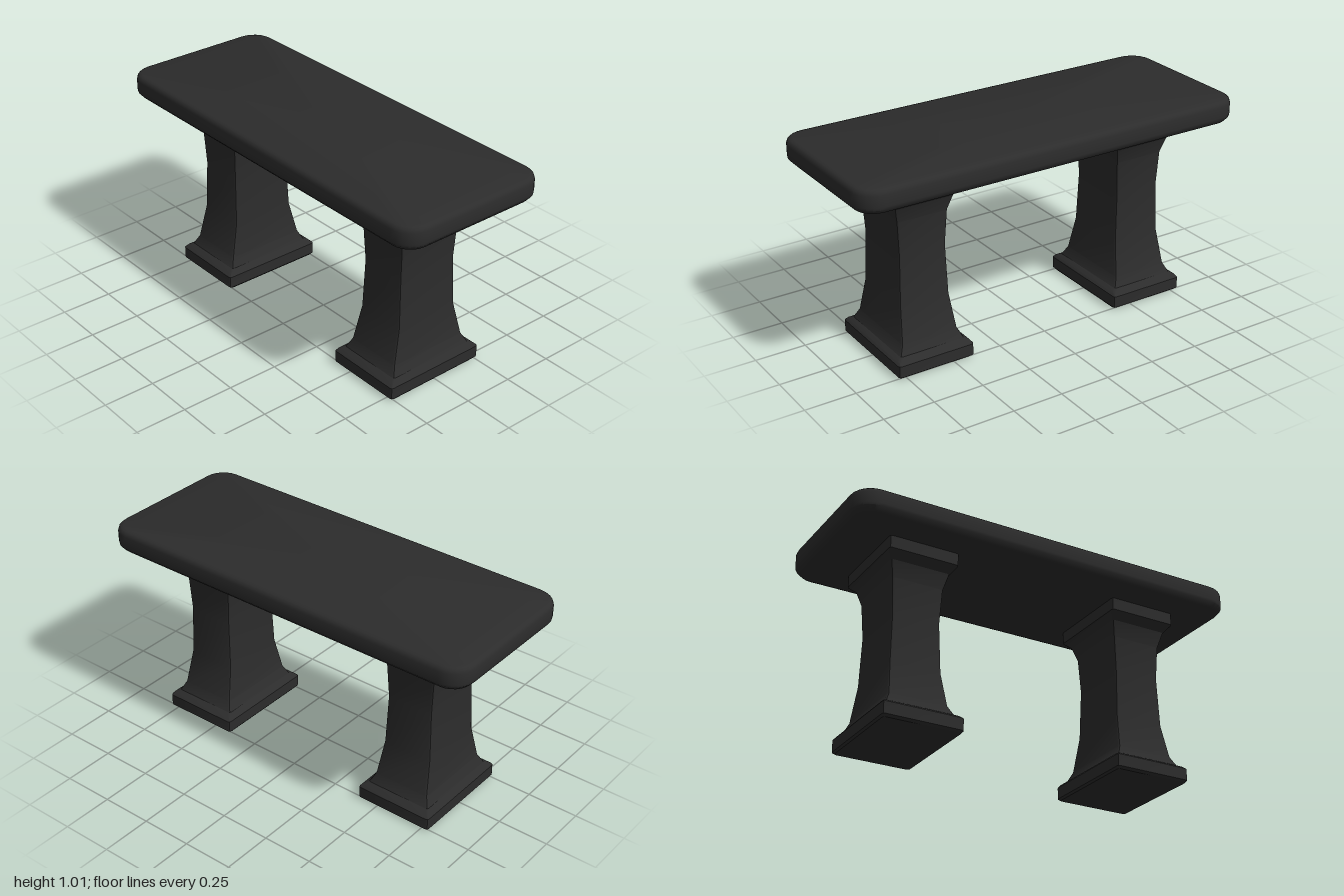
import * as THREE from 'three';
import { toCreasedNormals } from 'three/addons/utils/BufferGeometryUtils.js';

// Rounded rectangle outline: half width, half depth, corner radius, segments per corner
function outline(hw, hd, r, seg) {
  const pts = [];
  const signs = [[1, 1], [-1, 1], [-1, -1], [1, -1]];
  signs.forEach(([sx, sz], c) => {
    for (let i = 0; i <= seg; i++) {
      const a = (c + i / seg) * Math.PI / 2;
      pts.push([sx * (hw - r) + r * Math.cos(a), sz * (hd - r) + r * Math.sin(a)]);
    }
  });
  return pts;
}

// Closed solid through stacked sections [y, half width, half depth, corner radius]
function loft(sections, seg, crease) {
  const pos = [], index = [], n = 4 * (seg + 1), last = sections.length - 1;
  for (const [y, hw, hd, r] of sections) {
    for (const [x, z] of outline(hw, hd, r, seg)) pos.push(x, y, z);
  }
  for (let s = 0; s < last; s++) {
    for (let i = 0; i < n; i++) {
      const a = s * n + i, b = s * n + (i + 1) % n;
      index.push(a, a + n, b, b, a + n, b + n);
    }
  }
  // End caps
  const bottom = pos.length / 3, top = bottom + 1;
  pos.push(0, sections[0][0], 0, 0, sections[last][0], 0);
  for (let i = 0; i < n; i++) {
    const j = (i + 1) % n;
    index.push(bottom, i, j, top, last * n + j, last * n + i);
  }
  const geo = new THREE.BufferGeometry();
  geo.setAttribute('position', new THREE.Float32BufferAttribute(pos, 3));
  geo.setIndex(index);
  return toCreasedNormals(geo, crease);
}

export function createModel() {
  const model = new THREE.Group();
  model.name = 'bench';
  const stone = new THREE.MeshStandardMaterial({ color: 0x2c2c2c });
  stone.name = 'dark stone';

  // Seat slab: rounded corners and softened rims, as [y, inset]
  const rim = [[0.89, 0.036], [0.897, 0.02], [0.917, 0.002], [0.93, 0],
    [0.982, 0], [0.997, 0.005], [1.005, 0.014], [1.009, 0.027]];
  const seat = new THREE.Mesh(
    loft(rim.map(([y, d]) => [y, 1 - d, 0.395 - d, 0.11 - d]), 6, 0.6), stone);
  seat.name = 'seat';
  model.add(seat);

  // Pedestal: plinth, flared waist and capital, as [y, half width, half depth]
  const profile = [[0, 0.187, 0.252], [0.01, 0.195, 0.265], [0.067, 0.195, 0.265],
    [0.078, 0.187, 0.253], [0.091, 0.166, 0.228], [0.137, 0.144, 0.205],
    [0.305, 0.127, 0.167], [0.55, 0.119, 0.159], [0.72, 0.129, 0.166],
    [0.795, 0.148, 0.19], [0.83, 0.174, 0.228], [0.895, 0.174, 0.228]];
  const legGeo = loft(profile.map(([y, w, d]) => [y, w, d, 0.012]), 2, 0.45);
  for (const [side, name] of [[1, 'leftPedestal'], [-1, 'rightPedestal']]) {
    const leg = new THREE.Mesh(legGeo, stone);
    leg.name = name;
    leg.position.x = side * 0.593;
    model.add(leg);
  }
  return model;
}
